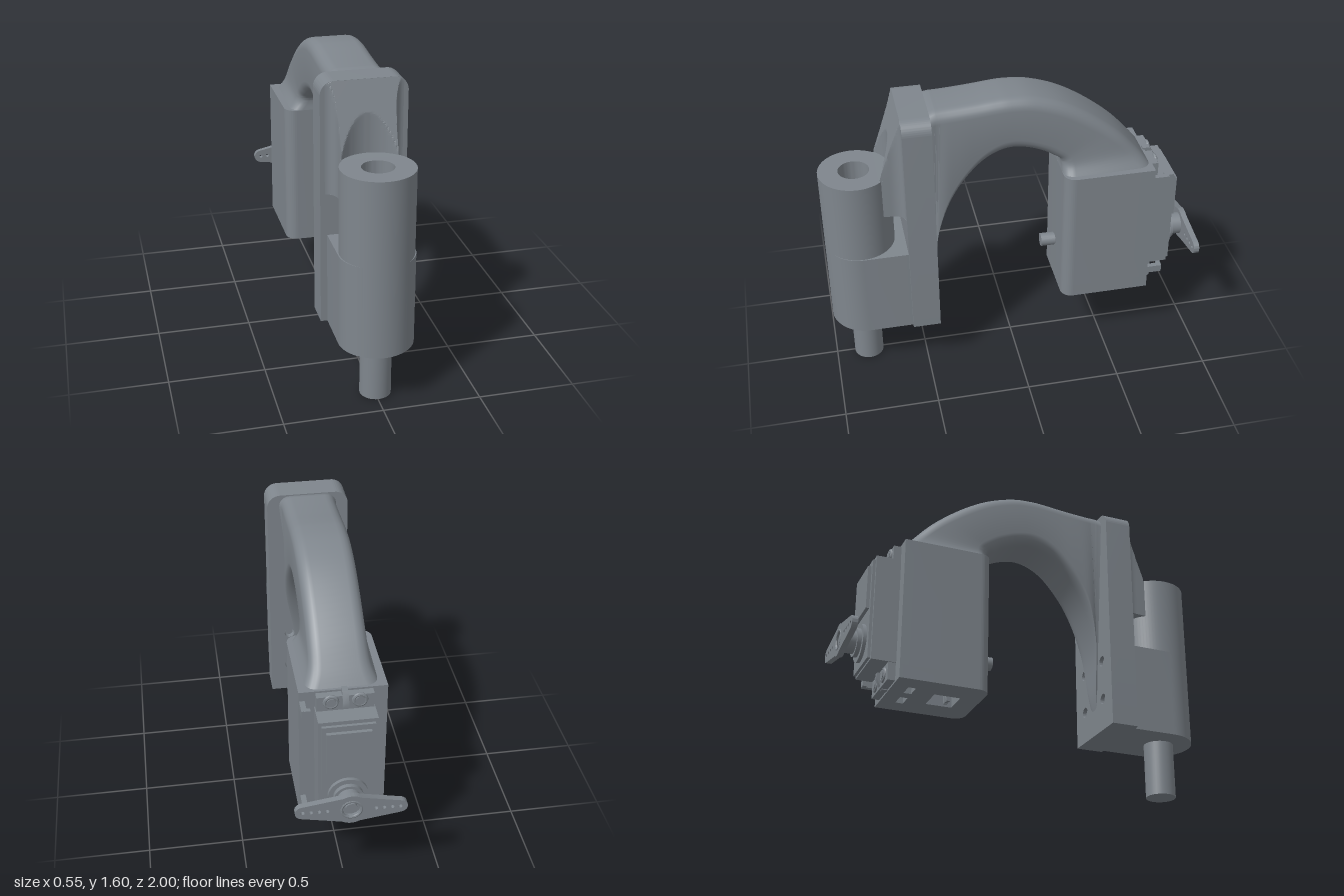
import * as THREE from 'three';
import { toCreasedNormals } from 'three/addons/utils/BufferGeometryUtils.js';

const mat = new THREE.MeshStandardMaterial({ color: 0x7f868d, side: THREE.DoubleSide });

export function createModel() {
  const model = new THREE.Group();

  const add = (name, geo, x = 0, y = 0, z = 0, crease = 0.6) => {
    const mesh = new THREE.Mesh(toCreasedNormals(geo, crease), mat);
    mesh.name = name;
    mesh.position.set(x, y, z);
    model.add(mesh);
    return mesh;
  };
  // Box given by its limits on each axis
  const box = (name, x0, x1, y0, y1, z0, z1) =>
    add(name, new THREE.BoxGeometry(x1 - x0, y1 - y0, z1 - z0), (x0 + x1) / 2, (y0 + y1) / 2, (z0 + z1) / 2);
  // Cylinder along z between two depths
  const disc = (name, r, x, y, z0, z1, sides = 32) =>
    add(name, new THREE.CylinderGeometry(r, r, Math.abs(z1 - z0), sides).rotateX(Math.PI / 2), x, y, (z0 + z1) / 2);
  const extrude = (shape, depth) => new THREE.ExtrudeGeometry(shape, { depth, bevelEnabled: false, curveSegments: 20 });
  // Extrude a plan shape (shape y = -z) upward
  const upright = (shape, height) => extrude(shape, height).rotateX(-Math.PI / 2);
  const circleHole = (shape, x, y, r) => shape.holes.push(new THREE.Path().absarc(x, y, r, 0, Math.PI * 2, true));
  const rectHole = (shape, x0, x1, y0, y1) => shape.holes.push(new THREE.Path([
    new THREE.Vector2(x0, y0), new THREE.Vector2(x0, y1), new THREE.Vector2(x1, y1), new THREE.Vector2(x1, y0)]));

  // Skin a list of equal-length rings and cap both ends
  const loft = (rings) => {
    const n = rings[0].length, pos = rings.flat(2), idx = [];
    for (let i = 0; i < rings.length - 1; i++)
      for (let j = 0; j < n; j++) {
        const k = (j + 1) % n, a = i * n + j, b = i * n + k;
        idx.push(a, b, b + n, a, b + n, a + n);
      }
    [0, rings.length - 1].forEach((ri, end) => {
      const c = pos.length / 3;
      for (let m = 0; m < 3; m++) pos.push(rings[ri].reduce((s, p) => s + p[m], 0) / n);
      for (let j = 0; j < n; j++) {
        const a = ri * n + j, b = ri * n + (j + 1) % n;
        idx.push(...(end ? [c, a, b] : [c, b, a]));
      }
    });
    const g = new THREE.BufferGeometry();
    g.setAttribute('position', new THREE.Float32BufferAttribute(pos, 3));
    g.setIndex(idx);
    return g;
  };

  // Front tube with a bore, and the pin below it
  const tubeX = 0.006, tubeZ = 0.815, tubeR = 0.184, floorY = 0.297;
  const tubeProfile = [[0, floorY], [tubeR, floorY], [tubeR, 1.22], [0.08, 1.22], [0.08, 0.95], [0, 0.95]]
    .map(([x, y]) => new THREE.Vector2(x, y));
  add('tube', new THREE.LatheGeometry(tubeProfile, 64), tubeX, 0, tubeZ);
  add('pin', new THREE.CylinderGeometry(0.08, 0.08, 0.31, 32), tubeX, 0.155, 0.82);

  // Lower clamp block that wraps the sides of the tube
  const clamp = new THREE.Shape();
  clamp.moveTo(0.19, -0.57);
  clamp.lineTo(-0.19, -0.57);
  clamp.lineTo(-0.19, -tubeZ);
  clamp.absellipse(0, -tubeZ, 0.19, 0.181, Math.PI, Math.PI * 2, false);
  add('clampBlock', upright(clamp, 0.78 - floorY), tubeX, floorY, 0);

  // Back plate with rounded top corners and four screw holes
  const plate = new THREE.Shape();
  const cornerX = 0.148, cornerY = 1.505, cornerR = 0.07;
  plate.moveTo(-0.218, floorY);
  plate.lineTo(0.218, floorY);
  plate.absarc(cornerX, cornerY, cornerR, 0, Math.PI / 2, false);
  plate.absarc(-cornerX, cornerY, cornerR, Math.PI / 2, Math.PI, false);
  const screws = [[-0.11, 0.47], [0.11, 0.47], [-0.11, 0.69], [0.11, 0.69]];
  screws.forEach(([x, y]) => circleHole(plate, x, y, 0.028));
  add('backPlate', extrude(plate, 0.148), 0, 0, 0.432);
  screws.forEach(([x, y]) => disc('plateScrew', 0.02, x, y, 0.45, 0.6, 16));

  // Flared gusset between plate and tube, hollowed above the tube
  const flare = [];
  for (let i = 0; i <= 8; i++) {
    const a = i / 8 * Math.PI / 2;
    flare.push([0.195 - 0.052 * Math.sin(a), 0.65 - 0.07 * Math.cos(a)]);
  }
  for (let i = 14; i >= 0; i--) flare.push([i / 100, 1]);
  const front = [...flare.map(([x, z]) => [-x, z]), ...flare.slice(0, -1).reverse()];
  const gussetRing = (y, cut) => {
    const slope = 0.70 - 0.12 * Math.max(0, y - 1.22) / 0.355;
    const rise = Math.max(0, y - cornerY);
    const limit = cornerX + Math.sqrt(Math.max(0, cornerR ** 2 - rise ** 2)) - 0.002;
    const clampX = (x) => Math.max(-limit, Math.min(limit, x));
    const pts = front.map(([x, z]) => {
      const bore = cut ? tubeZ - Math.sqrt(Math.max(0, tubeR ** 2 - x * x)) : 9;
      return [clampX(x), y, Math.min(z, slope, bore)];
    });
    return [...pts, [clampX(0.195), y, 0.56], [clampX(-0.195), y, 0.56]];
  };
  const gussetRings = [gussetRing(1.0, false), gussetRing(1.22, false)];
  for (let i = 0; i <= 40; i++) gussetRings.push(gussetRing(1.2201 + i * 0.00885, true));
  add('gusset', loft(gussetRings), 0, 0, 0, 0.28);

  // Curved arm: outer z, outer y, inner z, inner y, outer and inner half width
  const stations = [
    [0.47, 1.555, 0.45, 0.34, 0.165, 0.02], [0.41, 1.576, 0.424, 0.50, 0.149, 0.05],
    [0.38, 1.579, 0.411, 0.75, 0.146, 0.10], [0.34, 1.581, 0.368, 0.95, 0.145, 0.135],
    [0.27, 1.585, 0.30, 1.10, 0.145, 0.145], [0.18, 1.592, 0.20, 1.225, 0.145, 0.145],
    [0.10, 1.60, 0.11, 1.29, 0.145, 0.145], [0.02, 1.604, 0.02, 1.315, 0.145, 0.145],
    [-0.10, 1.593, -0.07, 1.302, 0.145, 0.145], [-0.25, 1.543, -0.15, 1.27, 0.145, 0.145],
    [-0.40, 1.455, -0.20, 1.24, 0.145, 0.145], [-0.55, 1.335, -0.24, 1.213, 0.146, 0.147],
    [-0.66, 1.215, -0.25, 1.18, 0.152, 0.157], [-0.72, 1.135, -0.25, 1.135, 0.18, 0.19],
  ];
  const spline = (k) => new THREE.SplineCurve(stations.map((s) => new THREE.Vector2(s[k], s[k + 1])));
  const [outer, inner, width] = [spline(0), spline(2), spline(4)];
  const armRings = [];
  for (let i = 0; i <= 65; i++) {
    const o = outer.getPoint(i / 65), n = inner.getPoint(i / 65), w = width.getPoint(i / 65);
    const mid = o.clone().add(n).multiplyScalar(0.5), v = o.clone().sub(n), h = v.length() / 2;
    v.normalize();
    const ring = [];
    for (const [sx, sv, a0] of [[1, 1, 0], [1, -1, 1], [-1, -1, 2], [-1, 1, 3]])
      for (let k = 0; k <= 5; k++) {
        const a = (a0 + k / 5) * Math.PI / 2, half = sv > 0 ? w.x : w.y;
        const r = Math.min(0.06, half * 0.9, h * 0.8);
        const x = sx * (half - r) + r * Math.sin(a), d = sv * (h - r) + r * Math.cos(a);
        ring.push([x, mid.y + v.y * d, mid.x + v.x * d]);
      }
    armRings.push(ring);
  }
  add('arm', loft(armRings), 0, 0, 0, 0.9);

  // Motor housing: solid upper part over a base slab with openings
  const housingShape = () => {
    const s = new THREE.Shape();
    s.moveTo(0.215, 0.73);
    s.lineTo(-0.218, 0.73);
    s.absarc(-0.158, 0.31, 0.06, Math.PI, Math.PI * 1.5, false);
    s.absarc(0.155, 0.31, 0.06, Math.PI * 1.5, Math.PI * 2, false);
    return s;
  };
  const base = housingShape();
  rectHole(base, -0.07, 0.07, 0.36, 0.5);
  rectHole(base, -0.11, -0.03, 0.61, 0.65);
  rectHole(base, 0.03, 0.11, 0.61, 0.65);
  add('housingBase', upright(base, 0.07), 0, 0.365, 0);
  add('housing', upright(housingShape(), 0.705), 0, 0.435, 0);
  for (const x of [-0.02, 0, 0.02]) box('wire', x - 0.007, x + 0.007, 0.36, 0.44, -0.42, -0.4);
  disc('pegCollar', 0.028, 0, 0.615, -0.26, -0.19, 20);
  disc('peg', 0.036, 0, 0.615, -0.245, -0.17, 20);

  // Motor body and mounting flange
  box('motorFlange', -0.145, 0.135, 0.375, 1.13, -0.77, -0.72);
  box('motorBody', -0.15, 0.14, 0.47, 1.05, -0.86, -0.72);
  box('motorCover', -0.115, 0.105, 0.76, 1.0, -0.893, -0.85);
  box('motorCoverRim', -0.135, 0.125, 0.48, 1.03, -0.875, -0.85);
  for (const [y, tip] of [[1.1, 1.15], [0.425, 0.37]]) {
    const rib = new THREE.Shape([[0.72, tip], [0.76, tip], [0.79, y], [0.79, y + (y - tip) * 0.6], [0.72, y + (y - tip) * 0.6]]
      .map(([z, yy]) => new THREE.Vector2(z, yy)));
    add('flangeRib', extrude(rib, 0.03).rotateY(Math.PI / 2), -0.02, 0, 0);
    for (const x of [-0.075, 0.065]) {
      add('flangeWasher', new THREE.TorusGeometry(0.03, 0.01, 8, 24), x, y, -0.77);
      disc('flangeScrew', 0.024, x, y, -0.72, -0.782, 20);
    }
  }

  // Cable hooks on the left side of the housing
  for (const y of [1.07, 0.475]) {
    box('hookStem', 0.185, 0.212, y - 0.02, y + 0.02, -0.81, -0.72);
    box('hookTip', 0.168, 0.2, y - 0.02, y + 0.02, -0.812, -0.79);
  }

  // Output shaft
  const axis = -0.003, axisY = 0.61;
  disc('gearBoss', 0.1, axis, axisY, -0.85, -0.893);
  disc('shaftCollar', 0.075, axis, axisY, -0.88, -0.915);
  disc('shaft', 0.06, axis, axisY, -0.9, -0.97);

  // Two-armed horn with rows of holes
  const horn = new THREE.Shape();
  const rad = (d) => d * Math.PI / 180;
  horn.absarc(0.24, 0, 0.037, rad(-80), rad(80), false);
  horn.absarc(0, 0, 0.085, rad(60), rad(120), false);
  horn.absarc(-0.24, 0, 0.037, rad(100), rad(260), false);
  horn.absarc(0, 0, 0.085, rad(240), rad(300), false);
  for (const s of [-1, 1]) for (const x of [0.12, 0.16, 0.2, 0.24]) circleHole(horn, s * x, 0, 0.01);
  circleHole(horn, 0, 0, 0.05);
  add('horn', extrude(horn, 0.03), axis, axisY, -0.997).rotation.z = 0.04;
  add('hornRing', new THREE.TorusGeometry(0.05, 0.008, 8, 32), axis, axisY, -0.992);
  disc('hornScrew', 0.03, axis, axisY, -0.96, -0.99, 20);

  return model;
}
